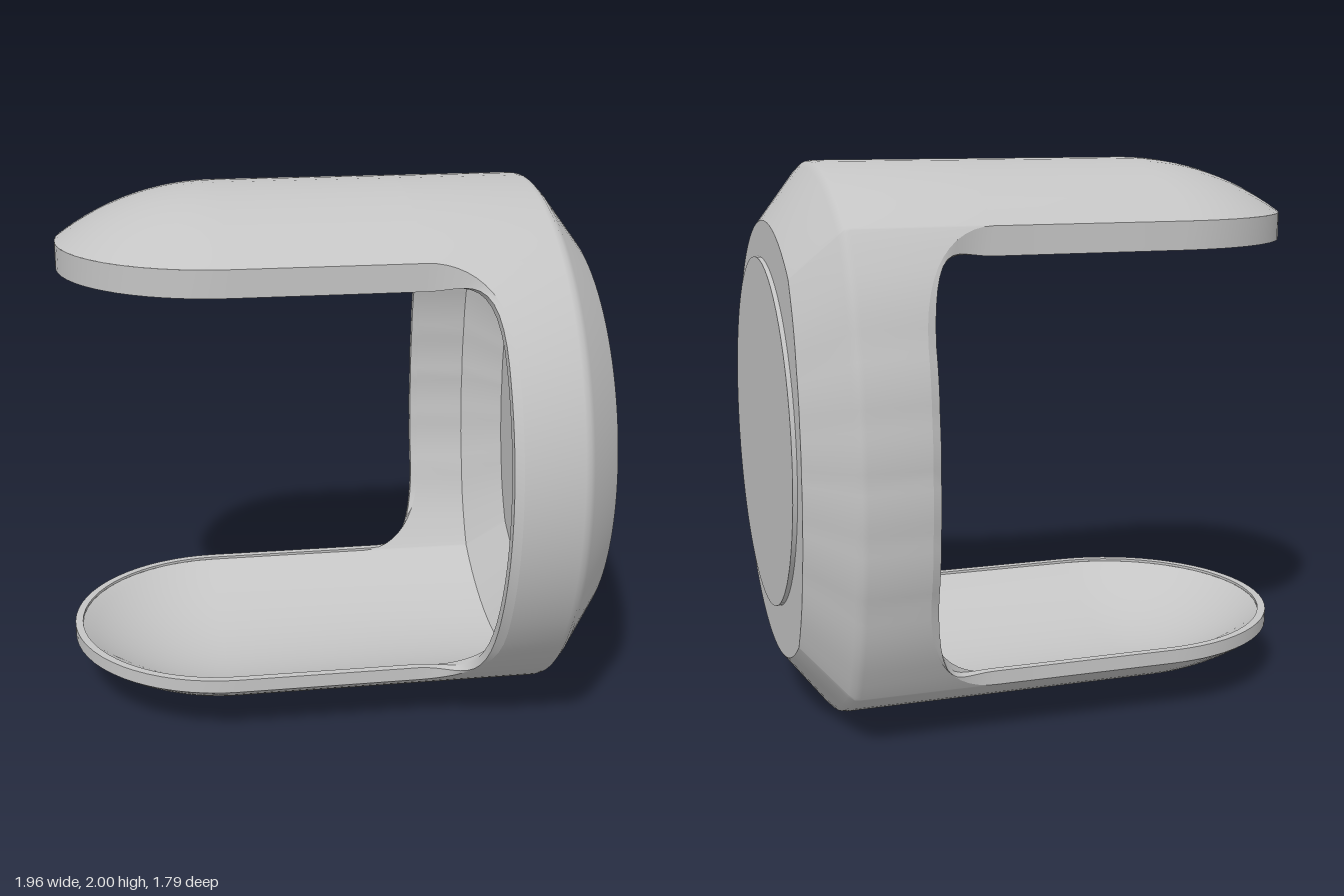
import * as THREE from 'three';
import { toCreasedNormals } from 'three/addons/utils/BufferGeometryUtils.js';

const CY = 1, CZ = -0.1;      // axis of the cup, running along x
const DOME = -0.38;           // where the straps turn into rounded ends
const HALF = 0.6, ROOT = 0.3; // strap half width, start of the corner fillet
const FILLET = 0.265, WALL = 0.95;
const V = (x, y, z) => new THREE.Vector3(x, y, z);
const range = (n, f) => Array.from({ length: n + 1 }, (_, i) => f(i / n));

// Surface through rows of points
function grid(rows, flip = false) {
  const n = rows[0].length, index = [];
  for (let i = 0; i < rows.length - 1; i++) {
    for (let j = 0; j < n - 1; j++) {
      const a = i * n + j, b = a + n, c = a + 1, d = b + 1;
      if (flip) index.push(a, b, c, c, b, d);
      else index.push(a, c, b, c, d, b);
    }
  }
  const g = new THREE.BufferGeometry();
  g.setAttribute('position', new THREE.Float32BufferAttribute(
    rows.flat().flatMap((p) => [p.x, p.y + CY, p.z + CZ]), 3));
  g.setIndex(index);
  return toCreasedNormals(g, 0.6);
}

// Radius of the cross-section: round, with a flattened back
const BACK = [[0.6435, 1], [0.742, 0.963], [0.862, 0.922], [1.035, 0.861], [1.32, 0.805], [1.5708, 0.788]];
function radius(theta) {
  if (Math.sin(theta) >= 0) return 1;
  const a = Math.acos(Math.min(1, Math.abs(Math.cos(theta))));
  if (a <= BACK[0][0]) return 1;
  let k = 0;
  while (k < BACK.length - 2 && a > BACK[k + 1][0]) k++;
  const [a0, r0] = BACK[k], [a1, r1] = BACK[k + 1];
  return r0 + (r1 - r0) * Math.min(1, (a - a0) / (a1 - a0));
}
const ringPoint = (x, theta, s = 1) => {
  const r = radius(theta) * s;
  return V(x, r * Math.cos(theta), r * Math.sin(theta));
};

// Matching point on the inner skin
const inset = (p) => V(p.x < DOME ? DOME + (p.x - DOME) * WALL : p.x, p.y * WALL, p.z * WALL);

// One quarter of the ring: angle from vertical and x where the wall begins
const strapPart = range(12, (u) => ({ a: Math.asin(HALF * Math.sin(u * Math.PI / 2)), x: ROOT, t: 0 }));
const filletPart = range(12, (u) => {
  const f = u * Math.PI / 2;
  return {
    a: Math.asin(HALF + FILLET * (1 - Math.cos(f))),
    x: ROOT + FILLET * Math.sin(f), t: u * u * (3 - 2 * u),
  };
});
const lastA = filletPart[12].a;
const sidePart = range(12, (u) => ({ a: lastA + (Math.PI / 2 - lastA) * u, x: ROOT + FILLET, t: 1 }));
const wallQuarter = [...filletPart, ...sidePart.slice(1)];
const quarter = [...strapPart.slice(0, -1), ...wallQuarter];

function fullRing() {
  const map = (f, rev) => {
    const q = quarter.map((c) => ({ ...c, a: f(c.a) }));
    return rev ? q.reverse() : q;
  };
  return [
    ...map((a) => a), ...map((a) => Math.PI - a, true).slice(1),
    ...map((a) => Math.PI + a).slice(1), ...map((a) => 2 * Math.PI - a, true).slice(1),
  ];
}

// Rim: outer edge, raised lip and inner edge, around the whole opening
function rimRows() {
  const loop = [];
  for (const [sy, sz] of [[1, 1], [-1, 1], [-1, -1], [1, -1]]) {
    const pts = [];
    const add = (p, t) => {
      const c = inset(p), lipY = sy * (sy > 0 ? 0.7 : 0.75);
      const strapA = V(p.x, lipY, p.z), strapB = V(c.x, lipY, c.z);
      const wallA = V(p.x - 0.03, p.y * 0.985, p.z * 0.985), wallB = V(c.x - 0.03, c.y, c.z);
      pts.push([p, strapA.lerp(wallA, t), strapB.lerp(wallB, t), c]);
    };
    const edgeY = sy * Math.sqrt(1 - HALF * HALF);
    range(16, (u) => u * Math.PI / 2).forEach((f) =>
      add(V(DOME - HALF * Math.cos(f), edgeY, sz * HALF * Math.sin(f)), 0));
    range(4, (u) => u).slice(1, -1).forEach((u) => add(V(DOME + (ROOT - DOME) * u, edgeY, sz * HALF), 0));
    wallQuarter.forEach(({ a, x, t }) => {
      const p = ringPoint(x, sz * a);
      p.y *= sy;
      add(p, t);
    });
    if (sy * sz < 0) pts.reverse();
    loop.push(...pts);
  }
  loop.push(loop[0]);
  return [0, 1, 2, 3].map((k) => loop.map((p) => p[k]));
}

// Strap: part cylinder ending in part of a sphere
function strapRows(sy) {
  const zs = range(24, (u) => (u - 0.5) * Math.PI);
  const point = (x, z) => {
    const d = Math.min(0, x - DOME);
    return V(x, sy * Math.sqrt(1 - z * z - d * d), z);
  };
  return [
    ...range(12, (u) => zs.map((f) => point(DOME - HALF * Math.cos(f) * (1 - u), HALF * Math.sin(f)))),
    zs.map((f) => point(ROOT, HALF * Math.sin(f))),
  ];
}

export function createModel() {
  const group = new THREE.Group();
  const grey = new THREE.MeshStandardMaterial({ color: 0xc4c4c4, side: THREE.DoubleSide });
  grey.name = 'light grey';
  const add = (name, geometry) => {
    const mesh = new THREE.Mesh(geometry, grey);
    mesh.name = name;
    group.add(mesh);
    return mesh;
  };

  // Cup shell with bevelled, closed end
  const ring = fullRing();
  const shell = (profile, s) => [
    ring.map((c) => ringPoint(c.x, c.a, s)),
    ...profile.map(([x, k]) => ring.map((c) => ringPoint(x, c.a, k))),
  ];
  add('outerShell', grid(shell([[0.78, 1], [0.8, 0.996], [0.82, 0.976], [0.965, 0.79], [0.965, 0]], 1)));
  add('innerShell', grid(shell([[0.77, WALL], [0.915, 0.76], [0.915, 0]], WALL), true));

  // Upper and lower straps
  for (const [name, sy] of [['upperStrap', 1], ['lowerStrap', -1]]) {
    const rows = strapRows(sy);
    add(name + 'Outside', grid(rows, sy < 0));
    add(name + 'Inside', grid(rows.map((r) => r.map(inset)), sy > 0));
  }

  add('openingRim', grid(rimRows(), true));

  // Round plate on the closed end
  const plate = add('endPlate', new THREE.CylinderGeometry(0.643, 0.643, 0.03, 64));
  plate.rotation.z = -Math.PI / 2;
  plate.position.set(0.966, 1.01, 0);

  return group;
}
